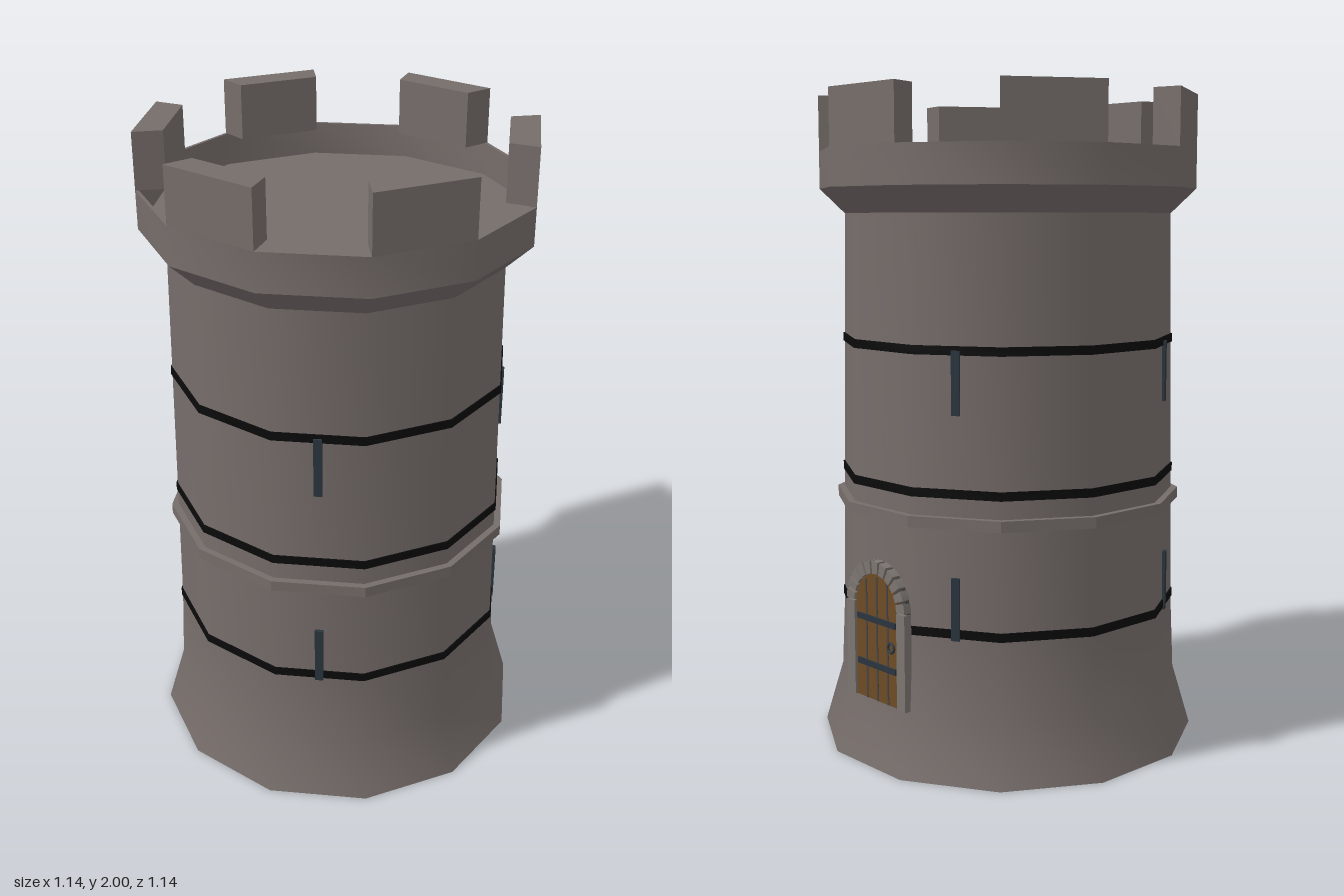
import * as THREE from 'three';
import { toCreasedNormals } from 'three/addons/utils/BufferGeometryUtils.js';

const mat = (name, color, side = THREE.FrontSide) => {
  const m = new THREE.MeshStandardMaterial({ color, side });
  m.name = name;
  return m;
};

const SIDES = 12;
const TO_CORNER = 1 / Math.cos(Math.PI / SIDES); // flat radius to corner radius

// Wall profile: [flat radius, height]
const WALL = [[0.572, 0], [0.518, 0.19], [0.508, 0.43], [0.49, 1.645]];

function wallRadius(y) {
  for (let i = 1; i < WALL.length; i++) {
    const [r0, y0] = WALL[i - 1], [r1, y1] = WALL[i];
    if (y <= y1) return r0 + (r1 - r0) * (y - y0) / (y1 - y0);
  }
  return WALL[WALL.length - 1][0];
}

// Twelve-sided turned solid with a flat side facing the front
function turned(profile, crease = 0.6) {
  const pts = profile.map(([r, y]) => new THREE.Vector2(r * TO_CORNER, y));
  return toCreasedNormals(new THREE.LatheGeometry(pts, SIDES, Math.PI / SIDES), crease);
}

// Closed ring of rectangular section
const ring = (rIn, rOut, y0, y1, crease) =>
  turned([[rIn, y0], [rOut, y0], [rOut, y1], [rIn, y1], [rIn, y0]], crease);

export function createModel() {
  const model = new THREE.Group();
  const stone = mat('stone', 0x766d6a, THREE.DoubleSide);
  const black = mat('black', 0x0a0a0a);
  const slate = mat('slate', 0x2a353e);
  const wood = mat('wood', 0x6e4c26);
  const frameStone = mat('frame stone', 0x7d7672);
  const mortar = mat('mortar', 0x4a4645);

  const add = (parent, name, geo, material, x = 0, y = 0, z = 0) => {
    const mesh = new THREE.Mesh(geo, material);
    mesh.name = name;
    mesh.position.set(x, y, z);
    parent.add(mesh);
    return mesh;
  };

  // Tapering wall, open underneath
  add(model, 'wall', turned(WALL), stone);

  // Flared collar, thin parapet and sunken roof floor
  add(model, 'parapet', turned([
    [0.49, 1.64], [0.565, 1.715], [0.565, 1.83], [0.555, 1.83], [0.555, 1.73], [0.001, 1.73],
  ]), stone);

  // Projecting string course
  add(model, 'stringCourse', ring(0.49, 0.523, 0.745, 0.778, 0.3), stone);

  // Dark bands, just proud of both faces of the wall
  for (const y of [0.435, 0.845, 1.255]) {
    const r = wallRadius(y);
    add(model, 'darkBand', ring(r - 0.004, r + 0.004, y - 0.013, y + 0.013), black);
  }

  // Merlons on every other side
  const trapezoid = new THREE.Shape([
    [-0.151, -0.565], [0.151, -0.565], [0.125, -0.48], [-0.125, -0.48],
  ].map(([x, y]) => new THREE.Vector2(x, y)));
  const merlonGeo = new THREE.ExtrudeGeometry(trapezoid, { depth: 0.17, bevelEnabled: false });
  merlonGeo.rotateX(-Math.PI / 2);
  for (let i = 0; i < 6; i++) {
    add(model, 'merlon', merlonGeo, stone, 0, 1.83, 0).rotation.y = i * Math.PI / 3;
  }

  // Arrow slits: two levels, four around
  const slitGeo = new THREE.BoxGeometry(0.025, 0.185, 0.018);
  for (let i = 0; i < 4; i++) {
    const a = Math.PI / 6 + i * Math.PI / 2;
    for (const y of [0.508, 1.163]) {
      const r = wallRadius(y);
      add(model, 'arrowSlit', slitGeo, slate, Math.sin(a) * r, y, Math.cos(a) * r).rotation.y = a;
    }
  }

  // Arched door on the back
  const door = new THREE.Group();
  door.name = 'door';
  door.rotation.y = Math.PI;
  model.add(door);
  const base = 0.19, spring = 0.482, rIn = 0.1, rOut = 0.138;
  const archPlate = (r, depth) => {
    const s = new THREE.Shape();
    s.moveTo(-r, base);
    s.lineTo(r, base);
    s.lineTo(r, spring);
    s.absarc(0, spring, r, 0, Math.PI, false);
    s.lineTo(-r, base);
    return new THREE.ExtrudeGeometry(s, { depth, bevelEnabled: false, curveSegments: 16 });
  };
  add(door, 'doorBacking', archPlate(rOut - 0.003, 0.014), mortar, 0, 0, 0.512);
  add(door, 'doorLeaf', archPlate(rIn, 0.018), wood, 0, 0, 0.512);

  // Jambs and arch stones
  const jambGeo = new THREE.BoxGeometry(rOut - rIn, spring - base, 0.026);
  for (const s of [-1, 1]) {
    add(door, 'jamb', jambGeo, frameStone, s * (rIn + rOut) / 2, (spring + base) / 2, 0.525);
  }
  const count = 11, step = Math.PI / count, gap = 0.035;
  for (let i = 0; i < count; i++) {
    const a0 = i * step + gap, a1 = (i + 1) * step - gap;
    const s = new THREE.Shape();
    s.absarc(0, 0, rOut, a0, a1, false);
    s.absarc(0, 0, rIn, a1, a0, true);
    const geo = new THREE.ExtrudeGeometry(s, { depth: 0.026, bevelEnabled: false, curveSegments: 2 });
    add(door, 'archStone', geo, frameStone, 0, spring, 0.512);
  }

  // Plank gaps and iron straps
  for (const x of [-0.05, 0, 0.05]) {
    const top = spring + Math.sqrt(rIn * rIn - x * x) - 0.01;
    add(door, 'plankGap', new THREE.BoxGeometry(0.007, top - base, 0.004), mortar,
      x, (top + base) / 2, 0.53);
  }
  for (const y of [0.3, 0.44]) {
    add(door, 'strap', new THREE.BoxGeometry(0.18, 0.018, 0.008), slate, 0, y, 0.532);
  }
  add(door, 'handle', new THREE.TorusGeometry(0.014, 0.004, 6, 12), slate, 0.07, 0.37, 0.534);

  return model;
}
